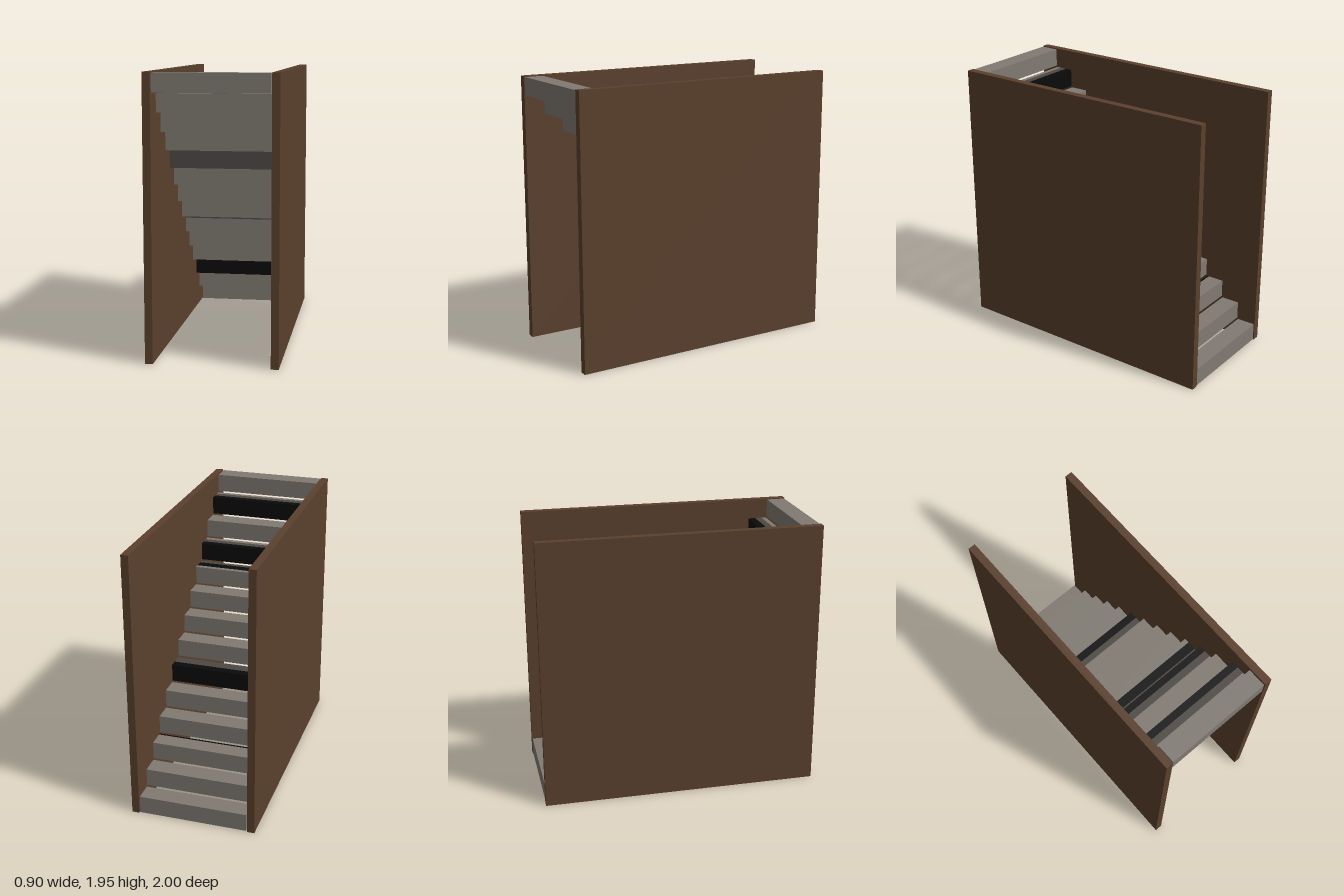
import * as THREE from 'three';

export function createModel() {
  const mat = (name, color) => {
    const m = new THREE.MeshStandardMaterial({ color });
    m.name = name;
    return m;
  };
  const wood = mat('brown wood', 0x5a402d);
  const stone = mat('grey stone', 0x807a72);
  const dark = mat('dark grey stone', 0x4d4944);
  const black = mat('black stone', 0x0b0b0b);

  const model = new THREE.Group();
  model.name = 'staircase';

  // Box from its lower and upper corners
  const block = (parent, name, material, x0, x1, y0, y1, z0, z1) => {
    const mesh = new THREE.Mesh(new THREE.BoxGeometry(x1 - x0, y1 - y0, z1 - z0), material);
    mesh.position.set((x0 + x1) / 2, (y0 + y1) / 2, (z0 + z1) / 2);
    mesh.name = name;
    parent.add(mesh);
  };

  const height = 1.945, count = 14;
  const rise = height / count, run = 2 / count;
  const gapY = 0.005, gapZ = 0.0035, half = 0.39;

  // Side walls
  block(model, 'leftWall', wood, 0.397, 0.45, 0, height, -1, 1);
  block(model, 'rightWall', wood, -0.45, -0.397, 0, height, -1, 1);

  // Banded steps: [material, z where the band ends], from back to front
  const bands = {
    2: [[stone, -0.59], [black]],
    5: [[black, -0.225], [dark]],
    9: [[stone, 0.325], [black, 0.39], [dark]],
    10: [[black, 0.48], [dark, 0.53], [stone]],
    12: [[black, 0.77], [dark, 0.82], [stone]],
  };

  // Steps climb from the back to the front
  for (let i = 0; i < count; i++) {
    const step = new THREE.Group();
    step.name = `step${i + 1}`;
    const y0 = i * rise + gapY, y1 = (i + 1) * rise - gapY;
    const front = -1 + (i + 1) * run - gapZ;
    let z = -1 + i * run + gapZ;
    for (const [material, end = front] of bands[i] || [[stone]]) {
      if (i === 5 && material === dark) {
        // Only the top layer of this step is dark at the front
        block(step, 'stepTop', dark, -half, half, 0.805, y1, z, end);
        block(step, 'stepBody', stone, -half, half, y0, 0.805, z, end);
      } else {
        block(step, 'stepBand', material, -half, half, y0, y1, z, end);
      }
      z = end;
    }
    model.add(step);
  }
  return model;
}
